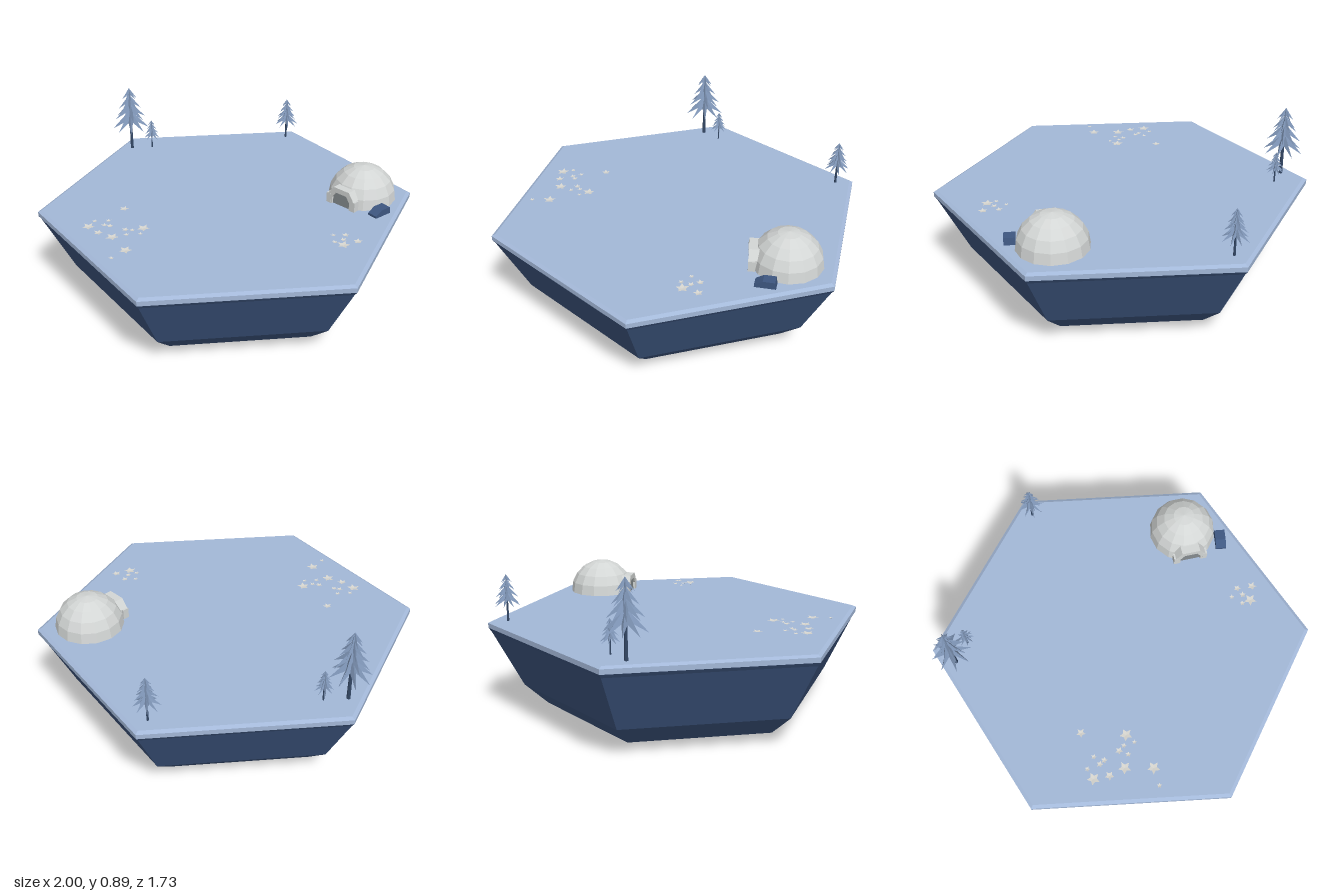
import * as THREE from 'three';

const mat = (name, color, side = THREE.FrontSide) => {
  const m = new THREE.MeshStandardMaterial({ color, side });
  m.name = name;
  return m;
};

// Split faces so that every facet gets its own flat normal
function flat(geo) {
  const g = geo.index ? geo.toNonIndexed() : geo;
  g.computeVertexNormals();
  return g;
}

function add(parent, name, geo, material, x = 0, y = 0, z = 0) {
  const mesh = new THREE.Mesh(flat(geo), material);
  mesh.name = name;
  mesh.position.set(x, y, z);
  parent.add(mesh);
  return mesh;
}

// Six-sided solid from [radius, height] pairs, corners on the x axis
function hexSolid(profile) {
  const pts = profile.map(([r, y]) => new THREE.Vector2(r, y));
  return new THREE.LatheGeometry(pts, 6, Math.PI / 2);
}

// Pointed star skirt: an apex joined to alternating long and short rim points
function starCone(points, apexY, rTip, tipY, rNotch, notchY) {
  const pos = [];
  const rim = (i) => {
    const a = (i / (points * 2)) * Math.PI * 2;
    const [r, y] = i % 2 ? [rNotch, notchY] : [rTip, tipY];
    return [r * Math.sin(a), y, r * Math.cos(a)];
  };
  for (let i = 0; i < points * 2; i++) pos.push(0, apexY, 0, ...rim(i), ...rim(i + 1));
  const g = new THREE.BufferGeometry();
  g.setAttribute('position', new THREE.Float32BufferAttribute(pos, 3));
  return g;
}

export function createModel() {
  const model = new THREE.Group();
  model.name = 'snowyHexIsland';
  const GROUND = 0.51;

  const snow = mat('snow blue', 0xa3b8d8);
  const rock = mat('deep blue rock', 0x3e5781);
  const ice = mat('igloo white', 0xd3d6d5);
  const doorShade = mat('doorway grey', 0x858b8e);
  const needles = mat('frosted needles', 0x8299bb, THREE.DoubleSide);
  const bark = mat('dark bark', 0x344866);
  const petal = mat('petal white', 0xd6d5cf, THREE.DoubleSide);

  // Hexagonal island: tapered rock below, bevelled snow slab on top
  add(model, 'rockBase', hexSolid([[0, 0], [0.55, 0], [0.71, 0.045], [0.83, 0.155], [0.985, 0.455], [1, 0.475]]), rock);
  add(model, 'snowTop', hexSolid([[1, 0.475], [1, 0.5], [0.98, GROUND], [0, GROUND]]), snow);

  // Igloo dome with its doorway turned to the front right corner
  const igloo = new THREE.Group();
  igloo.name = 'igloo';
  igloo.position.set(0.727, GROUND, 0.012);
  igloo.rotation.y = -0.885;
  model.add(igloo);
  add(igloo, 'dome', new THREE.SphereGeometry(0.18, 14, 5, 0, Math.PI * 2, 0, Math.PI / 2), ice);

  const archPoints = (w, h) => [[-w, 0], [-w, h * 0.55], [-w * 0.6, h], [w * 0.6, h], [w, h * 0.55], [w, 0]]
    .map(([x, y]) => new THREE.Vector2(x, y));
  const arch = new THREE.Shape([...archPoints(0.082, 0.1), ...archPoints(0.056, 0.072).reverse()]);
  add(igloo, 'doorArch', new THREE.ExtrudeGeometry(arch, { depth: 0.075, bevelEnabled: false }), ice, 0, 0, 0.113);
  const doorway = new THREE.ExtrudeGeometry(new THREE.Shape(archPoints(0.057, 0.073)), { depth: 0.006, bevelEnabled: false });
  add(igloo, 'doorway', doorway, doorShade, 0, 0, 0.171);
  // Blocks at the foot of the arch
  for (const s of [-1, 1]) {
    add(igloo, 'archFoot', new THREE.BoxGeometry(0.026, 0.055, 0.035), ice, s * 0.079, 0.0275, 0.172);
  }

  // Blue wedge-shaped block beside the igloo
  const wedge = new THREE.Shape([[-0.052, 0], [0.052, 0], [0.046, 0.036], [-0.012, 0.036], [-0.052, 0.012]]
    .map(([x, y]) => new THREE.Vector2(x, y)));
  const wedgeGeo = new THREE.ExtrudeGeometry(wedge, { depth: 0.056, bevelEnabled: false }).translate(0, 0, -0.028);
  add(model, 'blueBlock', wedgeGeo, rock, 0.767, GROUND, 0.225).rotation.y = 0.55;

  // Fir trees: thin trunk and stacked drooping star skirts
  const tiers = [[0.245, 0.105, 0.13], [0.295, 0.088, 0.195], [0.34, 0.064, 0.255], [0.38, 0.042, 0.315]];
  for (const [x, z, s] of [[-0.5, -0.72, 1], [-0.38, -0.72, 0.45], [0.443, -0.78, 0.645]]) {
    const tree = new THREE.Group();
    tree.name = 'firTree';
    tree.position.set(x, GROUND, z);
    tree.scale.setScalar(s);
    add(tree, 'trunk', new THREE.CylinderGeometry(0.006, 0.01, 0.3, 6), bark, 0, 0.15, 0);
    tiers.forEach(([apex, r, tip], i) => {
      const skirt = starCone(8, apex, r, tip, r * 0.33, tip + (apex - tip) * 0.38);
      add(tree, 'branchTier', skirt, needles).rotation.y = i % 2 ? 0.2 : 0;
    });
    model.add(tree);
  }

  // Star flowers scattered on the snow: [x, z, radius]
  const flowers = [
    [-0.73, 0.21, 0.034], [-0.455, 0.255, 0.034], [-0.61, 0.325, 0.034], [-0.545, 0.455, 0.034], [0.512, 0.52, 0.034],
    [-0.68, 0.275, 0.025], [-0.55, 0.045, 0.025], [-0.545, 0.26, 0.02], [0.543, 0.43, 0.02], [0.59, 0.495, 0.025],
    [-0.7, 0.16, 0.015], [-0.63, 0.16, 0.015], [-0.65, 0.205, 0.018], [-0.622, 0.215, 0.018], [-0.51, 0.27, 0.015],
    [-0.47, 0.31, 0.013], [-0.54, 0.31, 0.015], [-0.612, 0.52, 0.014], [0.482, 0.425, 0.014], [0.475, 0.49, 0.015],
    [0.522, 0.472, 0.018],
  ];
  flowers.forEach(([x, z, r], i) => {
    const f = add(model, 'starFlower', starCone(5, 0.005, r, 0.01, r * 0.5, 0.007), petal, x, GROUND, z);
    f.rotation.y = i * 1.3;
  });

  return model;
}
